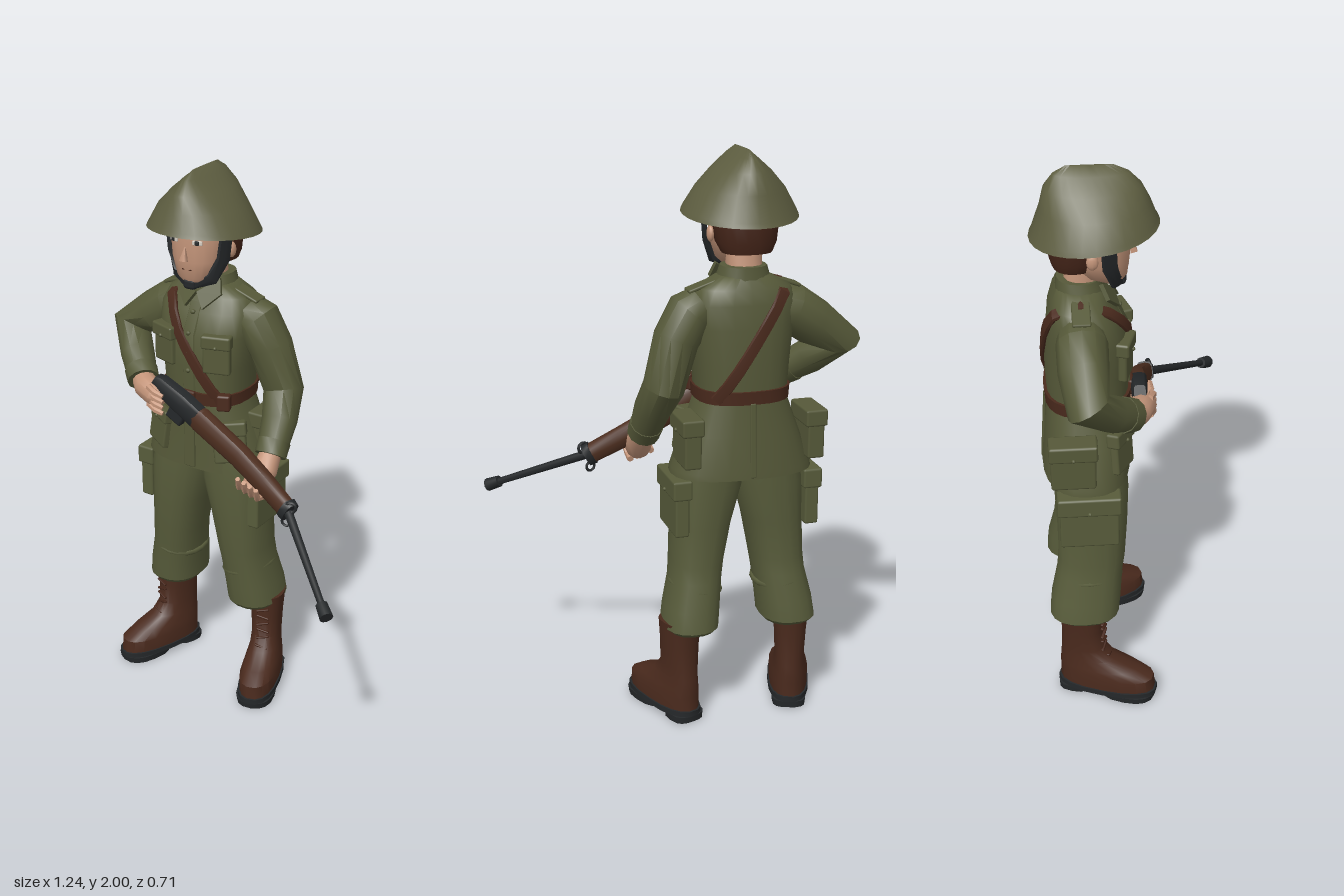
import * as THREE from 'three';
import { toCreasedNormals } from 'three/addons/utils/BufferGeometryUtils.js';
import { RoundedBoxGeometry } from 'three/addons/geometries/RoundedBoxGeometry.js';

const CX = -0.195; // body centre line
const V = (x, y, z) => new THREE.Vector3(x, y, z);

// Superellipse coordinates for corner i of n
function oval(i, n, p) {
  const a = (i / n) * Math.PI * 2, c = Math.cos(a), s = Math.sin(a);
  return [Math.sign(c) * Math.abs(c) ** (2 / p), Math.sign(s) * Math.abs(s) ** (2 / p)];
}

// Closed, capped surface through rings of points
function skin(rings, crease = 0.75) {
  const n = rings[0].length, pos = [], idx = [];
  const middle = r => r.reduce((m, q) => m.add(q), V(0, 0, 0)).divideScalar(n);
  rings.forEach(r => r.forEach(q => pos.push(q.x, q.y, q.z)));
  const last = rings.length - 1, c0 = rings.length * n, c1 = c0 + 1;
  [middle(rings[0]), middle(rings[last])].forEach(q => pos.push(q.x, q.y, q.z));
  for (let j = 0; j < n; j++) {
    const k = (j + 1) % n;
    for (let i = 0; i < last; i++) {
      const a = i * n + j, b = i * n + k;
      idx.push(a, b, a + n, b, b + n, a + n);
    }
    idx.push(c0, k, j, c1, last * n + j, last * n + k);
  }
  const g = new THREE.BufferGeometry();
  g.setAttribute('position', new THREE.Float32BufferAttribute(pos, 3));
  g.setIndex(idx);
  return toCreasedNormals(g, crease);
}

// Level rings, rising: [y, cx, cz, rx, rz, tilt]
function loft(rows, n = 20, p = 2.3, crease) {
  return skin(rows.map(([y, cx, cz, rx, rz, tilt = 0]) => Array.from({ length: n }, (_, i) => {
    const [c, s] = oval(i, n, p);
    return V(cx + c * rx, y - s * rz * tilt, cz - s * rz);
  })), crease);
}

// Rings across a path: [x, y, z, width, thickness]; ref gives the thickness direction
function limb(path, { n = 12, p = 2, ref = () => V(0, 0, 1), crease } = {}) {
  const pts = path.map(q => V(q[0], q[1], q[2]));
  return skin(path.map((q, i) => {
    const t = V(0, 0, 0);
    if (i > 0) t.add(pts[i].clone().sub(pts[i - 1]).normalize());
    if (i < pts.length - 1) t.add(pts[i + 1].clone().sub(pts[i]).normalize());
    t.normalize();
    const u = ref(pts[i]).cross(t).normalize(), v = t.clone().cross(u);
    return Array.from({ length: n }, (_, k) => {
      const [c, s] = oval(k, n, p);
      return pts[i].clone().addScaledVector(u, c * q[3]).addScaledVector(v, s * (q[4] ?? q[3]));
    });
  }), crease);
}

const TORSO = [
  [1.15, CX, -0.18, 0.155, 0.135], [1.3, CX, -0.18, 0.165, 0.14], [1.42, CX, -0.177, 0.18, 0.136],
  [1.5, CX, -0.19, 0.185, 0.115], [1.55, CX, -0.2, 0.16, 0.092], [1.59, CX, -0.2, 0.085, 0.07]];

// Depth of the torso surface at x, y; side is 1 for chest, -1 for back
function torsoZ(x, y, side) {
  const i = Math.max(0, TORSO.findIndex(r => r[0] >= y) - 1), a = TORSO[i], b = TORSO[i + 1];
  const [, , cz, rx, rz] = a.map((q, k) => q + (b[k] - q) * (y - a[0]) / (b[0] - a[0]));
  const d = Math.min(1, Math.abs(x - CX) / rx);
  return cz + side * rz * (1 - d ** 2.6) ** (1 / 2.6);
}

export function createModel() {
  const model = new THREE.Group();
  model.name = 'soldier';
  const mat = (name, color) => Object.assign(new THREE.MeshStandardMaterial({ color }), { name });
  const cloth = mat('jacket olive', 0x565939), trouser = mat('trouser olive', 0x585c3b);
  const helmetGreen = mat('helmet olive', 0x5d5d40), leather = mat('boot leather', 0x4a2a1d);
  const wood = mat('rifle wood', 0x4e2f20), hairBrown = mat('hair brown', 0x452519);
  const skinTone = mat('skin', 0xc4957a), black = mat('black', 0x25282a), white = mat('eye white', 0xd8d0c4);

  function add(name, geo, material, pos = [0, 0, 0], rot = [0, 0, 0], parent = model) {
    const m = new THREE.Mesh(geo, material);
    m.name = name;
    m.position.set(...pos);
    m.rotation.set(...rot);
    parent.add(m);
    return m;
  }
  const box = (w, h, d, r = 0.008) => new RoundedBoxGeometry(w, h, d, 1, r);

  // Patch pocket with flap, facing +z before it is turned
  function pocket(name, w, h, d, pos, rot, material) {
    const g = new THREE.Group();
    g.name = name;
    g.position.set(...pos);
    g.rotation.set(...rot);
    add('pocketBag', box(w, h, d), material, [0, 0, 0], [0, 0, 0], g);
    add('pocketFlap', box(w * 1.08, h * 0.35, d + 0.018), material, [0, h * 0.35, 0], [0, 0, 0], g);
    add('pocketButton', new THREE.SphereGeometry(0.007, 8, 6), material, [0, h * 0.24, d / 2 + 0.01], [0, 0, 0], g);
    model.add(g);
  }

  // Helmet, ridged from front to back
  add('helmet', loft([
    [1.785, -0.197, -0.148, 0.197, 0.208, 0.107], [1.8, -0.197, -0.148, 0.19, 0.2, 0.1],
    [1.87, -0.2, -0.145, 0.148, 0.176, 0.04], [1.93, -0.2, -0.15, 0.092, 0.155],
    [1.975, -0.2, -0.155, 0.038, 0.12], [2, -0.2, -0.16, 0.003, 0.075]], 28, 2), helmetGreen);

  // Head
  add('neck', loft([[1.55, -0.2, -0.2, 0.06, 0.06], [1.68, -0.2, -0.18, 0.06, 0.06]], 14), skinTone);
  add('face', loft([
    [1.6, -0.2, -0.095, 0.035, 0.035], [1.63, -0.2, -0.115, 0.072, 0.072], [1.69, -0.2, -0.14, 0.097, 0.105],
    [1.77, -0.2, -0.15, 0.106, 0.118], [1.86, -0.2, -0.15, 0.1, 0.11]], 20, 2.3, 1), skinTone);
  add('nose', new THREE.ConeGeometry(0.016, 0.06, 4), skinTone, [-0.2, 1.725, -0.03], [-0.25, 0.785, 0]);
  add('mouth', box(0.04, 0.006, 0.008, 0.002), hairBrown, [-0.2, 1.662, -0.044]);
  add('hair', loft([
    [1.665, -0.2, -0.215, 0.085, 0.07], [1.7, -0.2, -0.205, 0.102, 0.09],
    [1.79, -0.2, -0.2, 0.113, 0.1], [1.86, -0.2, -0.19, 0.1, 0.1]], 18), hairBrown);
  for (const s of [-1, 1]) {
    const x = -0.2 + s * 0.048, turn = [0, s * 0.3, 0];
    add('eyeWhite', box(0.036, 0.016, 0.008, 0.003), white, [x, 1.765, -0.038], turn);
    add('iris', box(0.015, 0.016, 0.008, 0.003), black, [x, 1.765, -0.035], turn);
    add('eyebrow', box(0.046, 0.008, 0.008, 0.003), hairBrown, [x, 1.784, -0.037], turn);
    add('ear', new THREE.SphereGeometry(0.025, 10, 8).scale(0.5, 1.1, 0.8), skinTone, [-0.2 + s * 0.108, 1.72, -0.16]);
    add('chinStrap', limb([
      [-0.2 + s * 0.12, 1.8, -0.11, 0.027, 0.008], [-0.2 + s * 0.108, 1.7, -0.105, 0.027, 0.009],
      [-0.2 + s * 0.075, 1.63, -0.085, 0.024, 0.01], [-0.2, 1.603, -0.062, 0.02, 0.012]],
      { n: 8, p: 4, ref: q => V(q.x + 0.2, 0, q.z + 0.15) }), black);
  }
  add('chinCup', box(0.05, 0.042, 0.05, 0.014), black, [-0.2, 1.605, -0.072]);

  // Jacket
  add('torso', loft(TORSO, 24, 2.6, 1), cloth);
  add('jacketSkirt', loft([
    [0.905, CX, -0.19, 0.25, 0.15], [0.925, CX, -0.19, 0.247, 0.149], [1.05, CX, -0.185, 0.2, 0.142],
    [1.17, CX, -0.18, 0.156, 0.136]], 24, 2.5), cloth);
  add('collarStand', loft([[1.55, -0.195, -0.195, 0.1, 0.085], [1.62, -0.195, -0.2, 0.078, 0.072]], 18), cloth);
  add('belt', loft([[1.165, CX, -0.18, 0.163, 0.144], [1.21, CX, -0.18, 0.166, 0.147]], 24, 2.6), leather);
  add('buckle', box(0.06, 0.055, 0.02), leather, [CX, 1.188, -0.034]);
  add('beltCase', box(0.05, 0.06, 0.04), leather, [-0.06, 1.19, -0.06], [0, 0.4, 0]);
  add('placket', limb([[1.53, 0.025], [1.42, 0.025], [1.3, 0.025], [1.18, 0.025]]
    .map(([y, w]) => [CX, y, torsoZ(CX, y, 1), w, 0.006]), { n: 8, p: 4 }), cloth);
  for (const y of [1.5, 1.43, 1.36, 1.29])
    add('button', new THREE.SphereGeometry(0.009, 8, 6), cloth, [CX, y, torsoZ(CX, y, 1) + 0.006]);
  add('skirtFront', box(0.045, 0.26, 0.01, 0.004), cloth, [CX, 1.04, -0.04]);
  add('skirtBackSeam', box(0.02, 0.26, 0.01, 0.004), cloth, [CX, 1.04, -0.33], [0.06, 0, 0]);

  // Shoulder strap: over the right shoulder, down to the left hip on both sides
  const strapPath = [];
  for (const side of [1, -1]) for (let i = 0; i <= 7; i++) {
    const f = side > 0 ? i / 7 : 1 - i / 7, x = -0.075 - 0.235 * f, y = 1.18 + 0.355 * f;
    strapPath.push([x, y, torsoZ(x, y, side) + side * 0.006, 0.021, 0.009]);
    if (side > 0 && i === 7) strapPath.push([-0.312, 1.568, -0.2, 0.021, 0.009]);
  }
  add('shoulderStrap', limb(strapPath, {
    n: 8, p: 4, ref: q => V((q.x - CX) * 0.3, q.y > 1.5 ? (q.y - 1.5) * 2 : 0, q.z + 0.19) }), leather);

  // Paired jacket and trouser details
  for (const s of [-1, 1]) {
    const collar = new THREE.Shape([[0, -0.05], [s * 0.035, -0.105], [s * 0.092, -0.04], [s * 0.075, 0.015]]
      .map(q => new THREE.Vector2(...q)));
    add('collarFlap', new THREE.ExtrudeGeometry(collar, { depth: 0.014, bevelEnabled: false }), cloth,
      [CX, 1.607, -0.122], [-0.45, s * 0.15, 0]);
    add('epaulette', box(0.11, 0.012, 0.06, 0.005), cloth, [CX + s * 0.145, 1.558, -0.2], [0, 0, -s * 0.33]);
    pocket('chestPocket', 0.1, 0.14, 0.03, [CX + s * 0.108, 1.365, -0.057], [0, s * 0.3, 0], cloth);
    pocket('hipPocket', 0.12, 0.15, 0.03, [CX + s * 0.15, 1.03, -0.075], [-0.12, s * 0.5, s * 0.15], cloth);
    pocket('sidePouch', 0.15, 0.17, 0.06, [CX + s * (s < 0 ? 0.235 : 0.205), 1.035, -0.24],
      [0, s * Math.PI / 2, s * 0.3, 'YXZ'].slice(0, 2).concat(0), cloth);
    pocket('cargoPocket', 0.2, 0.2, 0.05, [CX + s * 0.235, 0.8, -0.19], [0, s * Math.PI / 2, 0], trouser);
    const at = d => -0.187 + s * d;
    add('trouserLeg', loft([
      [0.335, at(0.18), -0.21, 0.086, 0.108], [0.35, at(0.18), -0.212, 0.098, 0.122],
      [0.42, at(0.172), -0.205, 0.096, 0.122], [0.52, at(0.155), -0.19, 0.09, 0.115],
      [0.58, at(0.148), -0.182, 0.092, 0.116], [0.72, at(0.132), -0.178, 0.103, 0.122],
      [0.86, at(0.112), -0.178, 0.122, 0.128], [0.96, at(0.1), -0.18, 0.12, 0.125]], 18, 2.4, 0.5), trouser);
    add('kneeFold', new THREE.TorusGeometry(0.086, 0.012, 6, 18).scale(1, 1.22, 1), trouser,
      [at(0.155), 0.49, -0.193], [Math.PI / 2, s * 0.2, 0]);

    // Boot, toes turned outward
    const boot = new THREE.Group();
    boot.name = 'boot';
    boot.position.set(s < 0 ? -0.387 : 0.032, 0, -0.22);
    boot.rotation.y = s * 0.33;
    model.add(boot);
    add('bootUpper', loft([
      [0.04, 0, 0.09, 0.07, 0.175], [0.09, 0, 0.088, 0.071, 0.172], [0.12, 0, 0.06, 0.064, 0.145],
      [0.155, 0, 0.018, 0.056, 0.1], [0.2, 0, 0, 0.054, 0.078], [0.28, 0, -0.002, 0.058, 0.075],
      [0.37, 0, -0.005, 0.066, 0.08]], 18, 2.4), leather, [0, 0, 0], [0, 0, 0], boot);
    add('soleRim', loft([[0.022, 0, 0.09, 0.075, 0.182], [0.042, 0, 0.09, 0.075, 0.182]], 18, 2.5),
      black, [0, 0, 0], [0, 0, 0], boot);
    add('heel', loft([[0, 0, -0.03, 0.06, 0.058], [0.024, 0, -0.03, 0.062, 0.06]], 14, 3), black, [0, 0, 0], [0, 0, 0], boot);
    add('frontSole', loft([[0, 0, 0.165, 0.07, 0.1], [0.024, 0, 0.165, 0.073, 0.104]], 16, 2.5),
      black, [0, 0, 0], [0, 0, 0], boot);
    for (let i = 0; i < 6; i++)
      add('lace', box(0.05, 0.008, 0.012, 0.003), hairBrown, [0, 0.17 + i * 0.03, i ? 0.077 : 0.098],
        [0, 0, i % 2 ? 0.25 : -0.25], boot);
  }

  // Arms, with cuffs
  add('rightSleeve', limb([
    [-0.32, 1.475, -0.2, 0.075], [-0.37, 1.46, -0.2, 0.084], [-0.45, 1.405, -0.2, 0.082],
    [-0.55, 1.34, -0.19, 0.075], [-0.475, 1.262, -0.115, 0.062], [-0.405, 1.205, -0.05, 0.054]], { crease: 0.6 }), cloth);
  add('rightCuff', limb([[-0.432, 1.226, -0.075, 0.06], [-0.4, 1.201, -0.045, 0.058]]), cloth);
  add('leftSleeve', limb([
    [-0.05, 1.49, -0.2, 0.07], [-0.01, 1.465, -0.2, 0.085], [0.04, 1.38, -0.205, 0.08],
    [0.088, 1.22, -0.22, 0.072], [0.11, 1.13, -0.16, 0.064], [0.12, 1.03, -0.09, 0.053]],
    { ref: () => V(1, 0, 0), crease: 0.6 }), cloth);
  add('leftCuff', limb([[0.117, 1.065, -0.115, 0.059], [0.121, 1.022, -0.083, 0.057]], { ref: () => V(1, 0, 0) }), cloth);

  // Hands, with fingers round the rifle
  add('rightHand', limb([[-0.42, 1.21, -0.06, 0.038], [-0.37, 1.19, -0.025, 0.047], [-0.31, 1.18, 0, 0.045],
    [-0.28, 1.17, 0.002, 0.03]]), skinTone);
  add('leftHand', limb([[0.121, 1.04, -0.095, 0.037], [0.124, 0.985, -0.045, 0.045], [0.115, 0.945, 0.005, 0.046],
    [0.1, 0.93, 0.03, 0.032]], { ref: () => V(1, 0, 0) }), skinTone);
  for (let i = 0; i < 4; i++) {
    add('rightFinger', limb([[-0.33, 1.215 - i * 0.022, 0.02, 0.012], [-0.29, 1.205 - i * 0.022, 0.035, 0.012],
      [-0.262, 1.195 - i * 0.022, 0.03, 0.009]], { n: 6 }), skinTone);
    const x = 0.07 + i * 0.025, y = 0.955 - i * 0.008;
    add('leftFinger', limb([[x, y - 0.03, 0, 0.012], [x, y - 0.02, 0.04, 0.012], [x + 0.01, y + 0.025, 0.065, 0.009]],
      { n: 6, ref: () => V(1, 0, 0) }), skinTone);
  }

  // Rifle
  add('rifleReceiver', limb([[-0.32, 1.235, -0.012, 0.024, 0.02], [-0.3, 1.222, -0.012, 0.036, 0.026],
    [-0.2, 1.175, -0.005, 0.042, 0.028], [-0.13, 1.138, 0, 0.042, 0.028]], { n: 12, p: 4 }), black);
  add('rifleGrip', box(0.07, 0.07, 0.035), black, [-0.22, 1.13, -0.005], [0, 0, -0.5]);
  add('rifleStock', limb([[-0.15, 1.148, 0, 0.036, 0.026], [-0.12, 1.132, 0, 0.046, 0.03],
    [0.05, 1.04, 0.008, 0.043, 0.03], [0.17, 0.975, 0.03, 0.038, 0.03], [0.285, 0.912, 0.058, 0.034, 0.027]],
    { n: 12, p: 3 }), wood);
  add('rifleBarrel', limb([[0.26, 0.926, 0.05, 0.016], [0.3, 0.905, 0.075, 0.016], [0.58, 0.747, 0.315, 0.012]], { n: 10 }), black);
  add('muzzle', limb([[0.562, 0.757, 0.3, 0.021], [0.6, 0.736, 0.332, 0.024]], { n: 10 }), black);
  add('barrelBand', limb([[0.27, 0.921, 0.053, 0.04, 0.032], [0.292, 0.909, 0.06, 0.038, 0.03]], { n: 12, p: 3 }), black);
  add('frontSight', new THREE.TorusGeometry(0.018, 0.006, 6, 14), black, [0.3, 0.935, 0.07], [0, 0.3, 0]);
  add('slingLoop', new THREE.TorusGeometry(0.016, 0.005, 6, 12), black, [0.277, 0.868, 0.058], [0, 0.3, 0]);
  return model;
}
